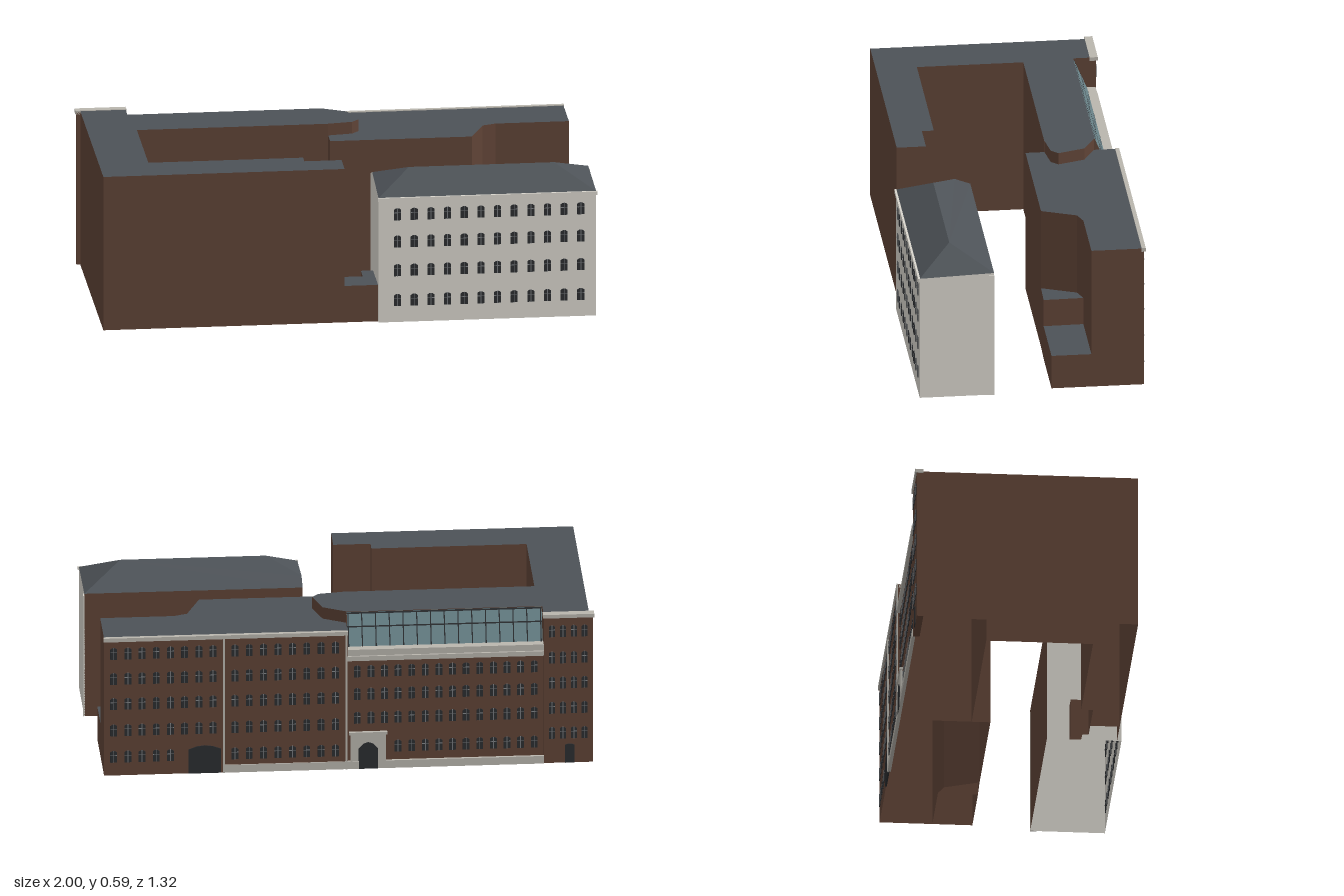
import * as THREE from 'three';
import { mergeGeometries } from 'three/addons/utils/BufferGeometryUtils.js';

const mat = (name, color, side = THREE.FrontSide) => {
  const m = new THREE.MeshStandardMaterial({ color, side });
  m.name = name;
  return m;
};

export function createModel() {
  // Walls and roofs are open shells without floors
  const brick = mat('brownBrick', 0x5f4336, THREE.DoubleSide);
  const slate = mat('slateRoof', 0x4d5257, THREE.DoubleSide);
  const plaster = mat('palePlaster', 0xd8d5cd, THREE.DoubleSide);
  const stone = mat('greyStone', 0xb9b6ae);
  const dark = mat('darkWindow', 0x2b2d30);
  const bar = mat('windowBars', 0x74777a);
  const glass = mat('atticGlass', 0x6b858b, THREE.DoubleSide);

  const model = new THREE.Group();
  model.name = 'courtyardBuilding';
  // Site frame: x runs along the street, z runs from the street inwards
  const site = new THREE.Group();
  site.name = 'site';
  site.position.set(-1, 0, -0.12);
  site.rotation.y = 0.305;
  model.add(site);

  const add = (name, geo, material, parent = site) => {
    const m = new THREE.Mesh(geo, material);
    m.name = name;
    parent.add(m);
    return m;
  };
  const boxGeo = (x0, x1, y0, y1, z0, z1) =>
    new THREE.BoxGeometry(x1 - x0, y1 - y0, z1 - z0)
      .translate((x0 + x1) / 2, (y0 + y1) / 2, (z0 + z1) / 2);
  const box = (name, material, ...d) => add(name, boxGeo(...d), material);

  // Flat polygons, counter-clockwise from outside
  const faces = (name, list, material) => {
    const tris = list.flatMap((f) => f.slice(2).flatMap((p, i) => [f[0], f[i + 1], p]));
    const g = new THREE.BufferGeometry();
    g.setAttribute('position', new THREE.Float32BufferAttribute(tris.flat(), 3));
    g.computeVertexNormals();
    add(name, g, material);
  };
  // Walls along a plan outline that runs clockwise seen from above
  const walls = (name, pts, y0, y1) =>
    faces(name + 'Walls', pts.map(([x, z], i) => {
      const [u, w] = pts[(i + 1) % pts.length];
      return [[x, y0, z], [x, y1, z], [u, y1, w], [u, y0, w]];
    }), brick);
  const roof = (name, pts, y) => {
    const shape = new THREE.Shape(pts.map(([x, z]) => new THREE.Vector2(x, -z)));
    add(name + 'Roof', new THREE.ShapeGeometry(shape).rotateX(-Math.PI / 2).translate(0, y, 0), slate);
  };
  const block = (name, pts, y0, y1) => {
    walls(name, pts, y0, y1);
    roof(name, pts, y1);
  };

  // C-shaped block round the courtyard, set back above the street front
  const court = [
    [0.905, 0.276], [0.2, 0.276], [0.2, 0.668], [0.77, 0.668], [0.77, 0.712],
    [0.907, 0.712], [0.907, 0.82], [0.018, 0.82],
  ];
  walls('courtyardBlock', [[0.018, 0.012], [0.905, 0.012], ...court], 0, 0.45);
  block('upperBlock', [[0.018, 0.025], [0.185, 0.025], [0.185, 0.09], [0.905, 0.09], ...court], 0.45, 0.59);
  block('roofStep', [
    [0.9, 0.09], [0.988, 0.137], [1.02, 0.236], [0.995, 0.262], [0.9, 0.276],
  ], 0.545, 0.59);
  block('rightWing', [
    [0.905, 0.006], [1.8, 0.006], [1.8, 0.2], [1.53, 0.2], [1.48, 0.218], [1.427, 0.345], [0.905, 0.345],
  ], 0, 0.545);
  block('lowAnnex', [[1.53, 0.2], [1.8, 0.2], [1.8, 0.347], [1.53, 0.347]], 0, 0.13);
  block('cornerAnnex', [[1.427, 0.345], [1.48, 0.218], [1.53, 0.2], [1.533, 0.347]], 0, 0.235);
  block('lowLink', [
    [0.907, 0.712], [0.985, 0.712], [0.985, 0.646], [1.03, 0.646], [1.03, 0.82], [0.907, 0.82],
  ], 0, 0.14);
  box('cornerTower', brick, 0.004, 0.185, 0, 0.585, 0.006, 0.03);

  // Cornices, plinth and downpipes on the street side
  box('towerCornice', stone, 0, 0.188, 0.578, 0.592, 0, 0.03);
  box('streetCornice', stone, 0.185, 0.91, 0.43, 0.448, 0.001, 0.03);
  box('terrace', stone, 0.185, 0.905, 0.448, 0.472, 0.008, 0.045);
  box('wingCornice', stone, 0.905, 1.802, 0.533, 0.548, 0, 0.015);
  box('plinth', stone, 0.185, 1.36, 0, 0.03, 0.002, 0.014);
  [0.91, 1.36].forEach((x) => box('downpipe', stone, x - 0.004, x + 0.004, 0, 0.533, 0, 0.008));

  // Sloping attic glazing behind the terrace
  const slope = (x0, x1, t0, t1, lift) => {
    const p = (x, t) => [x, 0.472 + 0.116 * t, 0.04 + 0.05 * t - lift];
    return [p(x0, t0), p(x0, t1), p(x1, t1), p(x1, t0)];
  };
  faces('atticGlazing', [slope(0.187, 0.903, 0, 1, 0)], glass);
  const mullions = [slope(0.187, 0.903, 0.56, 0.6, 0.002), slope(0.187, 0.903, 0.95, 1, 0.002)];
  for (let i = 0; i <= 14; i++) mullions.push(slope(0.19 + i * 0.0505, 0.194 + i * 0.0505, 0, 1, 0.002));
  faces('atticMullions', mullions, dark);
  faces('atticEnd', [[[0.904, 0.45, 0.04], [0.904, 0.472, 0.04], [0.904, 0.588, 0.09], [0.904, 0.45, 0.09]]], brick);

  // Plate with a shallow arched top, standing on y = 0
  const archGeo = (w, h, rise) => {
    const s = new THREE.Shape();
    s.moveTo(-w / 2, 0);
    s.lineTo(w / 2, 0);
    s.lineTo(w / 2, h - rise);
    s.quadraticCurveTo(0, h + rise, -w / 2, h - rise);
    return new THREE.ExtrudeGeometry(s, { depth: 0.006, bevelEnabled: false, curveSegments: 4 })
      .translate(0, 0, -0.003);
  };
  // Grid of arched windows set through a wall at z
  const windows = (name, xs, ys, z, w, h, skip = () => false) => {
    const panes = [], bars = [];
    for (const x of xs) for (const y of ys) {
      if (skip(x, y)) continue;
      const place = (g) => g.translate(x, y - h / 2, z);
      panes.push(place(archGeo(w, h, 0.006)));
      bars.push(place(boxGeo(-0.0015, 0.0015, 0, h, -0.004, 0.004)));
      bars.push(place(boxGeo(-w / 2, w / 2, h * 0.6, h * 0.6 + 0.002, -0.004, 0.004)));
    }
    add(name + 'Panes', mergeGeometries(panes), dark);
    add(name + 'Bars', mergeGeometries(bars), bar);
  };
  const spread = (a, b, n) => Array.from({ length: n }, (_, i) => a + ((b - a) * i) / (n - 1));

  windows('wingWindow', [...spread(0.95, 1.32, 8), ...spread(1.4, 1.765, 8)],
    [0.485, 0.385, 0.285, 0.18, 0.075], 0.006, 0.025, 0.046,
    (x, y) => y < 0.1 && x > 1.34 && x < 1.52);
  windows('streetWindow', spread(0.22, 0.87, 14), [0.385, 0.295, 0.2, 0.085], 0.012, 0.025, 0.046,
    (x, y) => y < 0.12 && x > 0.74);
  windows('towerWindow', spread(0.035, 0.155, 4), [0.525, 0.42, 0.32, 0.22, 0.12], 0.006, 0.022, 0.046);

  // Gateway, main entrance and tower door
  const streetArch = (name, x, z, w, h, rise) =>
    add(name, archGeo(w, h, rise).translate(x, 0, z), dark);
  streetArch('gateway', 1.43, 0.006, 0.12, 0.11, 0.015);
  box('entranceSurround', stone, 0.765, 0.895, 0, 0.135, 0.004, 0.013);
  box('entranceCornice', stone, 0.76, 0.9, 0.135, 0.145, 0, 0.013);
  streetArch('entranceDoor', 0.83, 0.004, 0.07, 0.105, 0.025);
  streetArch('towerDoor', 0.09, 0.006, 0.035, 0.075, 0.004);

  // Pale house: plastered on three sides, brick towards the courtyard
  const X0 = 1.03, X1 = 1.832, Z0 = 0.562, Z1 = 0.836;
  const BL = [X0, 0.488, Z0], BR = [X1, 0.488, Z0], FL = [X0, 0.478, Z1], FR = [X1, 0.478, Z1];
  const R1 = [1.155, 0.555, 0.712], R2 = [1.69, 0.555, 0.712], P = [X0, 0.51, 0.62];
  const foot = ([x, , z]) => [x, 0, z];
  faces('houseWalls', [
    [foot(FL), foot(FR), FR, FL], [foot(FR), foot(BR), BR, FR], [foot(BL), foot(FL), FL, P, BL],
  ], plaster);
  faces('houseBackWall', [[foot(BR), foot(BL), BL, BR]], brick);
  windows('houseWindow', spread(1.1, 1.775, 12), [0.415, 0.31, 0.2, 0.085], Z1, 0.026, 0.046);
  box('houseCornice', plaster, X0 - 0.002, X1 + 0.004, 0.466, 0.479, Z1 - 0.002, Z1 + 0.006);
  box('houseCornerStrip', plaster, X1 - 0.002, X1 + 0.004, 0, 0.48, Z0, Z0 + 0.024);

  // Hipped roof with a small raised gable at the left end
  faces('houseRoof', [[FL, FR, R2, R1], [FR, BR, R2], [R2, BR, BL, P, R1], [P, FL, R1]], slate);

  return model;
}
